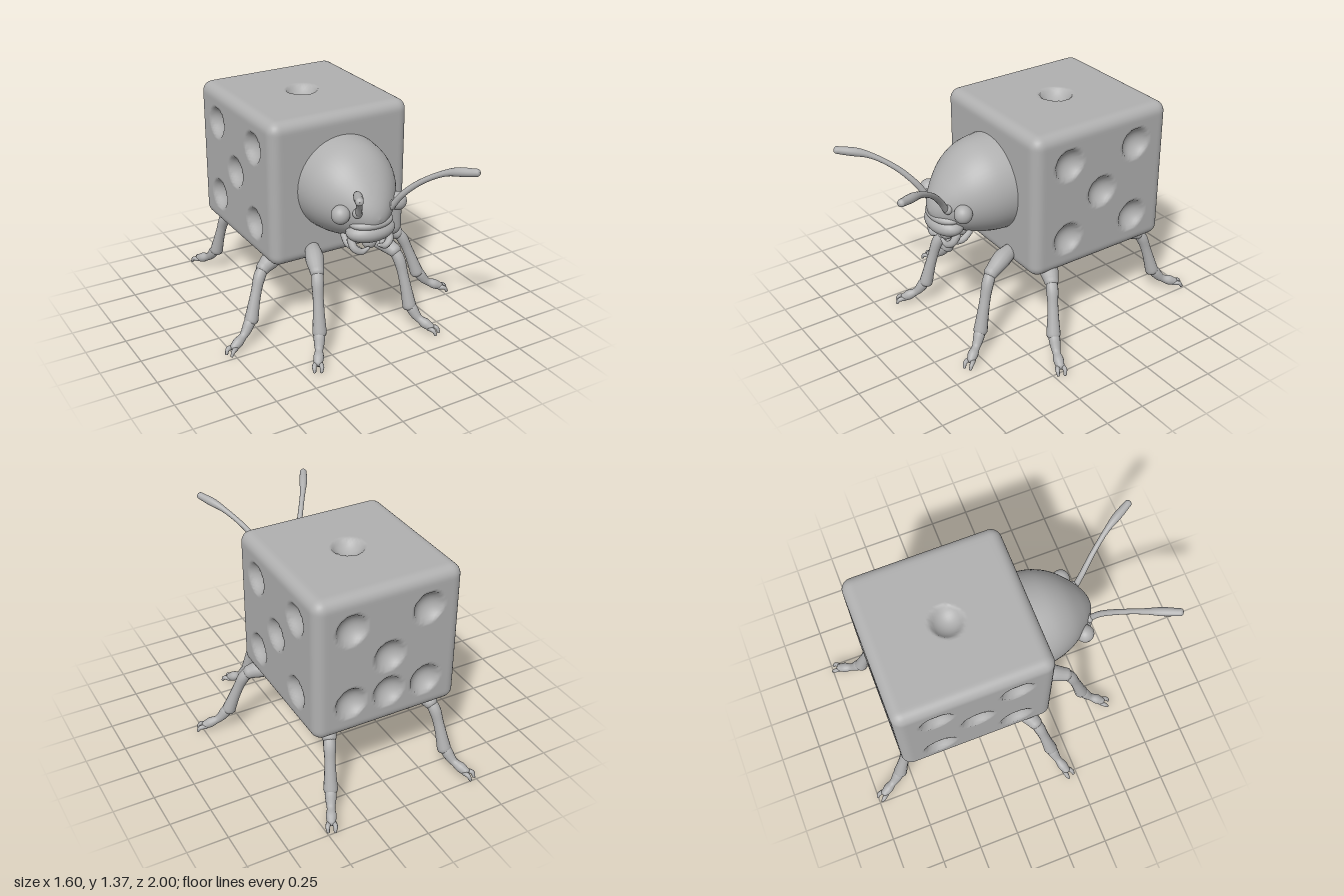
import * as THREE from 'three';
import { mergeVertices } from 'three/addons/utils/BufferGeometryUtils.js';

const grey = new THREE.MeshStandardMaterial({ color: 0xb0b0b0 });
grey.name = 'grey';

const V = (x, y, z) => new THREE.Vector3(x, y, z);

function add(parent, geometry, name) {
  const mesh = new THREE.Mesh(geometry, grey);
  mesh.name = name;
  parent.add(mesh);
  return mesh;
}

// Drops seams so that normals are smooth all the way round
function smooth(geometry) {
  geometry.deleteAttribute('uv');
  geometry.deleteAttribute('normal');
  const merged = mergeVertices(geometry, 1e-5);
  merged.computeVertexNormals();
  return merged;
}

// Closed round tube along a spline, with its radius interpolated from a list
function sweep(points, radii, steps = 24, sides = 14) {
  const curve = new THREE.CatmullRomCurve3(points, false, 'centripetal');
  const frames = curve.computeFrenetFrames(steps);
  const radiusCurve = new THREE.SplineCurve(radii.map((r, i) => new THREE.Vector2(i, r)));
  const pos = [], index = [];
  const ring = (i, r, push) => {
    const c = curve.getPointAt(i / steps).addScaledVector(frames.tangents[i], push);
    for (let j = 0; j < sides; j++) {
      const a = (j / sides) * Math.PI * 2;
      const p = c.clone()
        .addScaledVector(frames.normals[i], Math.cos(a) * r)
        .addScaledVector(frames.binormals[i], Math.sin(a) * r);
      pos.push(p.x, p.y, p.z);
    }
  };
  const r0 = radii[0], r1 = radii[radii.length - 1];
  // Rounded start, body, rounded end
  for (const a of [0.02, 0.6, 1.1]) ring(0, r0 * Math.sin(a), -r0 * 0.7 * Math.cos(a));
  for (let i = 0; i <= steps; i++) ring(i, radiusCurve.getPoint(i / steps).y, 0);
  for (const a of [1.1, 0.6, 0.02]) ring(steps, r1 * Math.sin(a), r1 * 0.7 * Math.cos(a));
  const rings = pos.length / 3 / sides;
  for (let i = 0; i < rings - 1; i++) {
    for (let j = 0; j < sides; j++) {
      const k = (j + 1) % sides;
      const a = i * sides + j, d = i * sides + k, b = a + sides, c = d + sides;
      index.push(a, d, b, d, c, b);
    }
  }
  const g = new THREE.BufferGeometry();
  g.setAttribute('position', new THREE.Float32BufferAttribute(pos, 3));
  g.setIndex(index);
  g.computeVertexNormals();
  return g;
}

function ellipsoid(parent, name, at, size) {
  const mesh = add(parent, new THREE.SphereGeometry(1, 28, 20), name);
  mesh.position.set(...at);
  mesh.scale.set(...size);
  return mesh;
}

// Rounded die with spherical dimples pressed into its faces
function dieBody() {
  const half = [0.46, 0.4475, 0.4775], round = 0.065, R = 0.095, depth = 0.06;
  const q = 0.24;
  const corners = [[-q, -q], [q, -q], [-q, q], [q, q]];
  // Pips per face, keyed by axis and sign, in the two remaining axes
  const pips = {
    '0+': [...corners, [0, 0]],
    '0-': [...corners, [0, 0]],
    '1+': [[0, 0]],
    '1-': [...corners, [-q, 0], [q, 0]],
    '2-': [...corners, [0, 0], [0, -q]],
  };
  const geometry = new THREE.BoxGeometry(...half.map((h) => h * 2), 64, 64, 64);
  const p = geometry.attributes.position;
  for (let i = 0; i < p.count; i++) {
    const v = [p.getX(i), p.getY(i), p.getZ(i)];
    const inner = v.map((c, a) => THREE.MathUtils.clamp(c, round - half[a], half[a] - round));
    const dir = V(...v.map((c, a) => c - inner[a])).normalize().toArray();
    const out = inner.map((c, a) => c + dir[a] * round);
    for (let a = 0; a < 3; a++) {
      if (Math.abs(dir[a]) < 0.999) continue;
      const [u, w] = [0, 1, 2].filter((k) => k !== a);
      for (const [pu, pw] of pips[a + (dir[a] > 0 ? '+' : '-')] || []) {
        const d = Math.hypot(v[u] - pu, v[w] - pw) / R;
        if (d < 1) out[a] -= dir[a] * depth * Math.pow(1 - d * d, 0.8);
      }
    }
    p.setXYZ(i, ...out);
  }
  return smooth(geometry);
}

// Ogive head: turned profile along z whose centre line drops towards the face
function headShell() {
  const outline = new THREE.SplineCurve([
    [0.29, 0.1], [0.295, 0.18], [0.277, 0.3], [0.23, 0.41], [0.16, 0.5], [0.1, 0.555], [0.05, 0.585], [0.0005, 0.597],
  ].map(([r, z]) => new THREE.Vector2(r, z)));
  const g = new THREE.LatheGeometry(outline.getPoints(36), 48);
  g.rotateX(Math.PI / 2);
  const p = g.attributes.position;
  for (let i = 0; i < p.count; i++) {
    const t = Math.max(0, (p.getZ(i) - 0.28) / 0.32);
    p.setY(i, p.getY(i) + 0.94 - 0.075 * t * t);
  }
  return smooth(g);
}

// Leg of thigh, shin, foot and two claws; s mirrors it
function leg(name, s, hip, knee, ankle, toe) {
  const group = new THREE.Group();
  group.name = name;
  const [h, k, a, t] = [hip, knee, ankle, toe].map(([x, y, z]) => V(s * x, y, z));
  const out = t.clone().sub(k).setY(0).normalize();
  const side = V(-out.z, 0, out.x);
  const mix = (p, q, f, up, o) => p.clone().lerp(q, f).addScaledVector(out, o).add(V(0, up, 0));

  add(group, sweep([h, mix(h, k, 0.5, 0.012, 0), k], [0.04, 0.055, 0.042]), 'thigh');
  add(group, sweep(
    [mix(k, a, 0, 0.01, -0.015), mix(k, a, 0.12, 0, 0.012), mix(k, a, 0.5, 0, 0.012), a],
    [0.034, 0.036, 0.032, 0.033, 0.037, 0.042]), 'shin');
  add(group, sweep(
    [mix(a, a, 0, 0.02, -0.005), mix(a, t, 0.35, -0.022, 0), mix(a, t, 0.7, -0.01, 0), mix(t, t, 0, 0.012, -0.02)],
    [0.028, 0.034, 0.03, 0.024, 0.031, 0.025]), 'foot');
  for (const c of [-1, 1]) {
    const from = mix(t, t, 0, 0.008, -0.03).addScaledVector(side, c * 0.012);
    const mid = mix(t, t, 0, 0.008, 0.008).addScaledVector(side, c * 0.022);
    const tip = mix(t, t, 0, -0.018, 0.024).addScaledVector(side, c * 0.02);
    add(group, sweep([from, mid, tip], [0.015, 0.014, 0.009], 8, 8), 'claw');
  }
  return group;
}

export function createModel() {
  const model = new THREE.Group();
  model.name = 'dieBeetle';

  add(model, dieBody(), 'dieBody').position.set(0, 0.9225, -0.2975);

  // Head and face
  const head = new THREE.Group();
  head.name = 'head';
  model.add(head);
  add(head, headShell(), 'headShell');
  ellipsoid(head, 'brow', [0, 0.825, 0.5], [0.14, 0.045, 0.095]);
  ellipsoid(head, 'muzzle', [0, 0.77, 0.5], [0.155, 0.07, 0.1]);
  ellipsoid(head, 'lowerLip', [0, 0.69, 0.49], [0.045, 0.045, 0.04]);

  for (const s of [1, -1]) {
    const sideName = s > 0 ? 'left' : 'right';
    ellipsoid(head, sideName + 'Eye', [s * 0.19, 0.897, 0.485], [0.054, 0.056, 0.054]);
    ellipsoid(head, sideName + 'AntennaSocket', [s * 0.112, 0.91, 0.54], [0.03, 0.03, 0.025]);
    add(head, sweep(
      [V(s * 0.112, 0.91, 0.55), V(s * 0.14, 0.99, 0.6), V(s * 0.205, 1.09, 0.69), V(s * 0.29, 1.175, 0.82), V(s * 0.37, 1.213, 0.97)],
      [0.019, 0.018, 0.017, 0.016, 0.018, 0.026, 0.022], 36), sideName + 'Antenna');
    // Jaws curve in under the muzzle, with a shorter feeler behind
    add(head, sweep(
      [V(s * 0.125, 0.73, 0.49), V(s * 0.12, 0.685, 0.52), V(s * 0.08, 0.66, 0.535), V(s * 0.035, 0.675, 0.54)],
      [0.024, 0.023, 0.02, 0.01], 16, 10), sideName + 'Jaw');
    add(head, sweep(
      [V(s * 0.12, 0.72, 0.4), V(s * 0.12, 0.685, 0.45), V(s * 0.075, 0.658, 0.51)],
      [0.018, 0.02, 0.016], 14, 10), sideName + 'Feeler');

    // Three legs on each side
    model.add(leg(sideName + 'FrontLeg', s, [0.18, 0.55, 0.13], [0.27, 0.495, 0.36], [0.315, 0.155, 0.465], [0.405, 0.028, 0.605]));
    model.add(leg(sideName + 'MiddleLeg', s, [0.33, 0.465, 0.0], [0.48, 0.44, 0.07], [0.595, 0.155, 0.135], [0.76, 0.028, 0.2]));
    model.add(leg(sideName + 'BackLeg', s, [0.29, 0.475, -0.57], [0.34, 0.435, -0.71], [0.385, 0.145, -0.81], [0.465, 0.028, -0.97]));
  }
  return model;
}
